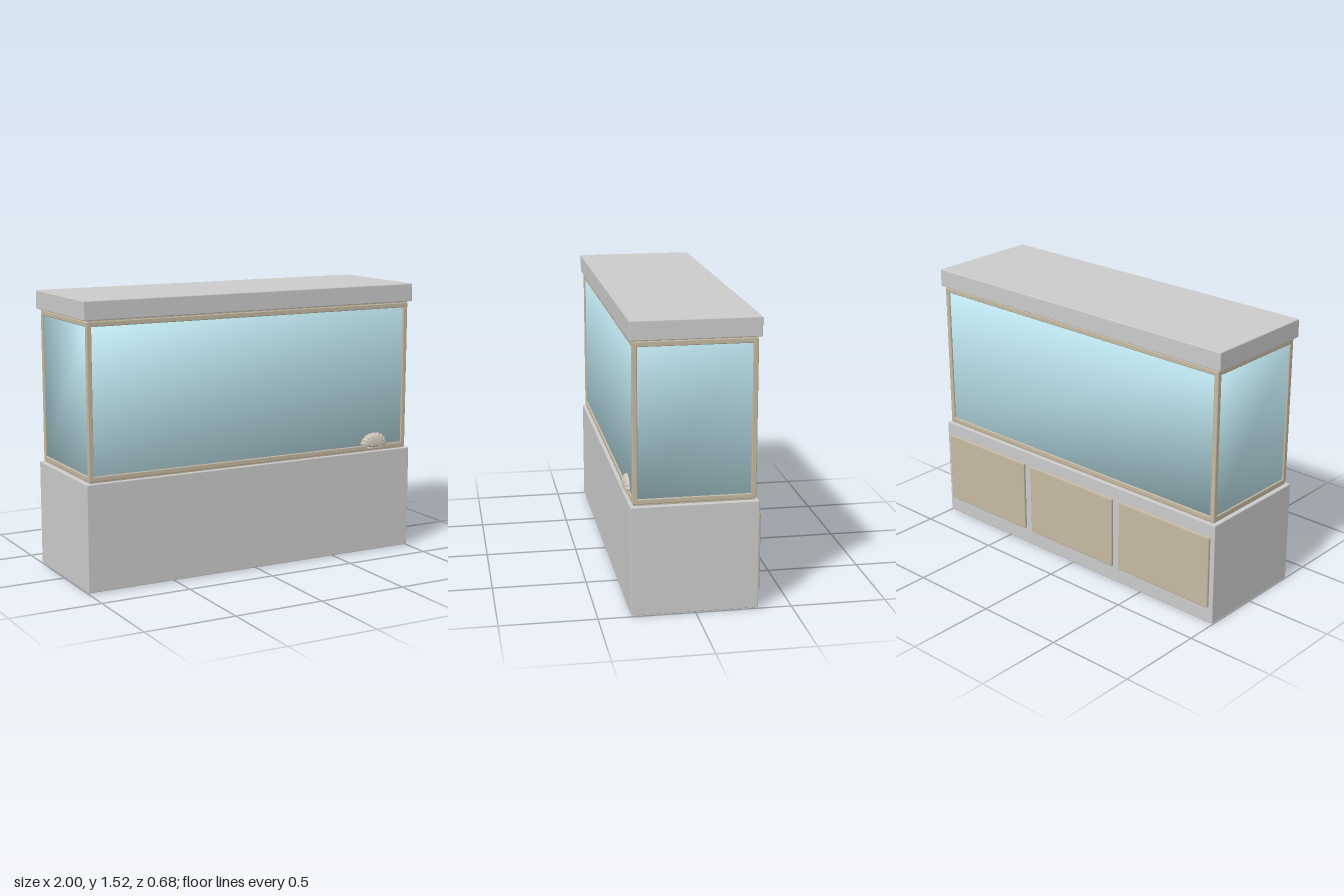
import * as THREE from 'three';
import { RoundedBoxGeometry } from 'three/addons/geometries/RoundedBoxGeometry.js';
import { mergeVertices } from 'three/addons/utils/BufferGeometryUtils.js';

const mat = (color) => new THREE.MeshStandardMaterial({ color });
const grey = mat(0xcccccc);
const wood = mat(0xc6b9a2);
const water = mat(0xbfe6f0);
const pearl = new THREE.MeshStandardMaterial({ color: 0xcfc6b8, side: THREE.DoubleSide });

const ZC = 0.004; // middle of the tank and cabinet in depth

function add(parent, name, geometry, material, x, y, z) {
  const mesh = new THREE.Mesh(geometry, material);
  mesh.name = name;
  mesh.position.set(x, y, z);
  parent.add(mesh);
  return mesh;
}

// box with a small bevel
const block = (w, h, d, r = 0.005) => new RoundedBoxGeometry(w, h, d, 1, r);

// box whose corners share one normal, for the soft gradient over the panes
function softBox(w, h, d) {
  const g = new THREE.BoxGeometry(w, h, d);
  g.deleteAttribute('normal');
  g.deleteAttribute('uv');
  const merged = mergeVertices(g);
  merged.computeVertexNormals();
  return merged;
}

// half dome fan with radial ribs
function fanGeometry(rx, ry, depth, ribs) {
  const rings = 8, steps = ribs * 4;
  const pos = [], index = [];
  for (let i = 0; i <= rings; i++) {
    const t = i / rings;
    for (let j = 0; j <= steps; j++) {
      const a = (j / steps) * Math.PI;
      const rib = Math.cos((j / steps) * ribs * 2 * Math.PI);
      const r = t * (1 - 0.03 * t * rib);
      const bulge = depth * Math.sqrt(Math.max(0, 1 - t * t));
      pos.push(Math.cos(a) * rx * r, Math.sin(a) * ry * r, bulge - 0.0015 * t * rib);
      if (i < rings && j < steps) {
        const p = i * (steps + 1) + j, q = p + steps + 1;
        index.push(p, q, q + 1, p, q + 1, p + 1);
      }
    }
  }
  const g = new THREE.BufferGeometry();
  g.setAttribute('position', new THREE.Float32BufferAttribute(pos, 3));
  g.setIndex(index);
  g.computeVertexNormals();
  return g;
}

export function createModel() {
  const model = new THREE.Group();
  model.name = 'aquarium';

  // cabinet and lid
  add(model, 'cabinet', block(2, 0.576, 0.658), grey, 0, 0.292, ZC);
  add(model, 'lid', block(2, 0.1, 0.658), grey, 0, 1.47, ZC);

  // feet under the corners
  for (const sx of [-1, 1]) for (const sz of [-1, 1]) {
    add(model, 'foot', new THREE.CylinderGeometry(0.015, 0.015, 0.008, 16), wood,
      sx * 0.95, 0.004, ZC + sz * 0.28);
  }

  // three doors on the back
  for (const x of [-0.665, 0, 0.665]) {
    add(model, 'door', block(0.615, 0.41, 0.02), wood, x, 0.3, -0.328);
  }

  // filled tank
  add(model, 'tank', softBox(1.944, 0.81, 0.612), water, 0, 1.0, ZC);

  // thin collars between tank, cabinet and lid
  for (const y of [0.586, 1.414]) {
    add(model, 'collar', new THREE.BoxGeometry(1.95, 0.016, 0.62), wood, 0, y, ZC);
  }

  // frame: four bars along each axis
  const frame = new THREE.Group();
  frame.name = 'frame';
  model.add(frame);
  const bar = 0.027, W = 1.96, H = 0.826, D = 0.63, cy = 1.0;
  const ex = (W - bar) / 2, ey = (H - bar) / 2, ez = (D - bar) / 2;
  for (const a of [-1, 1]) for (const b of [-1, 1]) {
    add(frame, 'longRail', block(W, bar, bar), wood, 0, cy + a * ey, ZC + b * ez);
    add(frame, 'sideRail', block(bar, bar, D), wood, a * ex, cy + b * ey, ZC);
    add(frame, 'post', block(bar, H, bar), wood, a * ex, cy, ZC + b * ez);
  }

  // shell ornament on the front rail
  const shell = new THREE.Group();
  shell.name = 'shell';
  shell.position.set(0.77, 0.617, 0.312);
  model.add(shell);
  add(shell, 'shellFan', fanGeometry(0.087, 0.066, 0.027, 9), pearl, 0, 0, 0);
  // shallow lower edge of the fan
  const lower = add(shell, 'shellLip', fanGeometry(0.08, 0.016, 0.027, 9), pearl, 0, 0, 0);
  lower.rotation.z = Math.PI;
  // hinge
  add(shell, 'shellHinge', block(0.09, 0.014, 0.02, 0.004), pearl, 0, -0.019, 0.004);

  return model;
}
